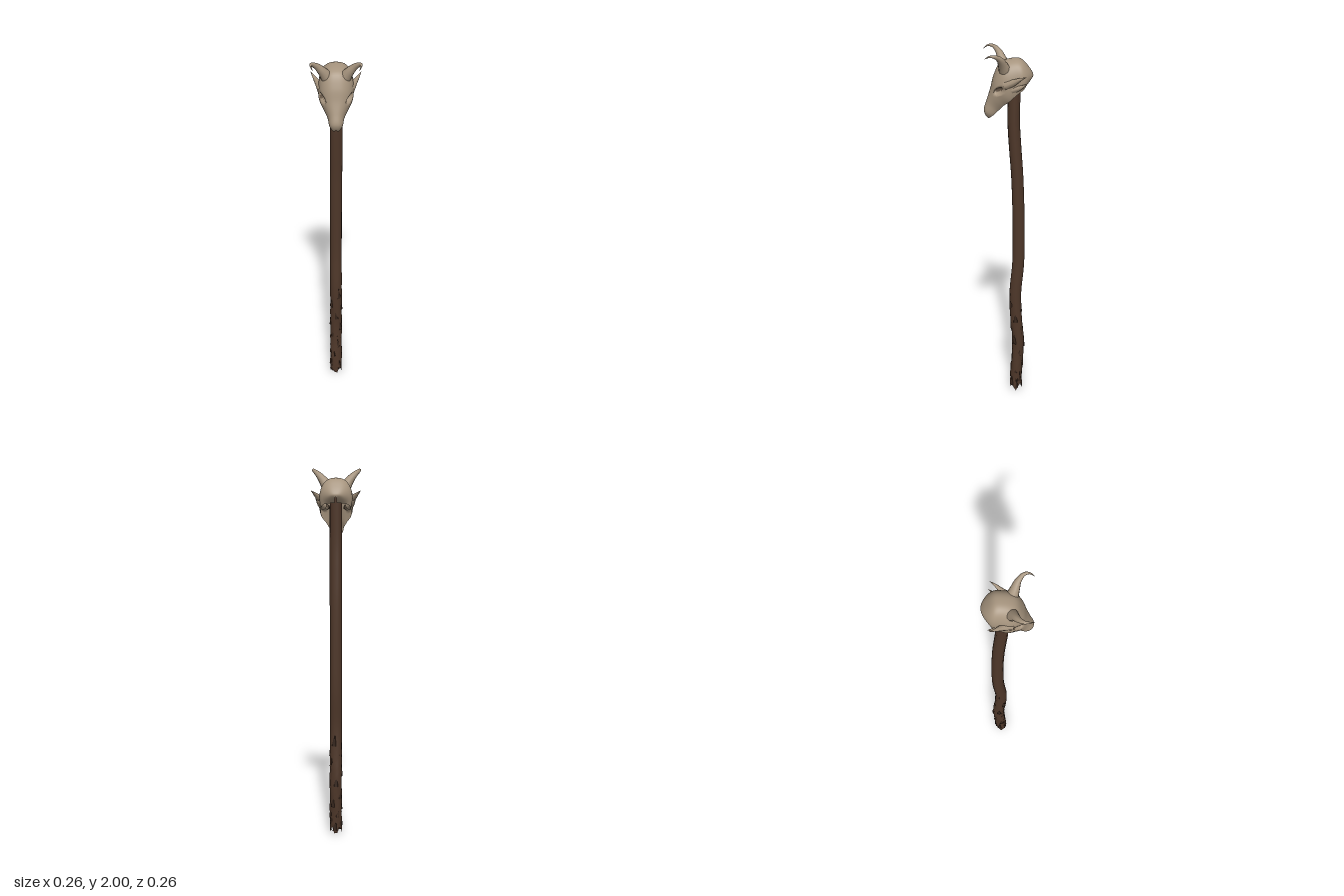
import * as THREE from 'three';
import { mergeVertices } from 'three/addons/utils/BufferGeometryUtils.js';

const V = (x, y, z) => new THREE.Vector3(x, y, z);

const material = (name, color, side = THREE.DoubleSide) => {
  const m = new THREE.MeshStandardMaterial({ color, side });
  m.name = name;
  return m;
};

// Tube whose radius follows radiusAt(t, angle)
function taperedTube(points, segments, sides, radiusAt) {
  const curve = new THREE.CatmullRomCurve3(points);
  let geo = new THREE.TubeGeometry(curve, segments, 1, sides);
  const pos = geo.attributes.position;
  const p = V(0, 0, 0);
  for (let i = 0; i <= segments; i++) {
    const t = i / segments;
    const c = curve.getPointAt(t);
    for (let j = 0; j <= sides; j++) {
      const k = i * (sides + 1) + j;
      const r = radiusAt(t, ((j % sides) / sides) * Math.PI * 2);
      p.fromBufferAttribute(pos, k).sub(c).multiplyScalar(r).add(c);
      pos.setXYZ(k, p.x, p.y, p.z);
    }
  }
  geo.deleteAttribute('uv');
  geo.deleteAttribute('normal');
  geo = mergeVertices(geo, 1e-6);
  geo.computeVertexNormals();
  return geo;
}

// Skull stations, snout to nape: top z, top y, bottom z, bottom y, half width
const STATIONS = [
  [0.115, 1.645, 0.112, 1.640, 0.002],
  [0.122, 1.656, 0.105, 1.636, 0.016],
  [0.127, 1.680, 0.085, 1.650, 0.033],
  [0.112, 1.730, 0.055, 1.680, 0.043],
  [0.093, 1.790, 0.025, 1.715, 0.066],
  [0.075, 1.860, -0.005, 1.740, 0.086],
  [0.040, 1.925, -0.030, 1.765, 0.091],
  [-0.020, 1.947, -0.055, 1.785, 0.088],
  [-0.065, 1.944, -0.075, 1.800, 0.085],
  [-0.105, 1.905, -0.085, 1.810, 0.072],
  [-0.128, 1.867, -0.092, 1.815, 0.045],
  [-0.127, 1.850, -0.100, 1.820, 0.005],
];

// Distance from the eye centre, 1 at the socket rim
function eyeDistance(y, z) {
  const dz = z - 0.05, dy = y - 1.795;
  return Math.hypot((-0.8 * dz + 0.6 * dy) / 0.03, (0.6 * dz + 0.8 * dy) / 0.018);
}

// Arched shell, open below, with the eye sockets pressed in
function skullGeometry() {
  const rows = 66, cols = 56;
  const tops = new THREE.CatmullRomCurve3(STATIONS.map(s => V(s[4], s[1], s[0])));
  const lows = new THREE.CatmullRomCurve3(STATIONS.map(s => V(0, s[3], s[2])));
  const verts = [], bone = [], dark = [];
  for (let i = 0; i <= rows; i++) {
    const T = tops.getPoint(i / rows), B = lows.getPoint(i / rows);
    for (let j = 0; j <= cols; j++) {
      const a = THREE.MathUtils.degToRad(-30 + (240 * j) / cols);
      const h = (Math.sin(a) + 0.5) / 1.5, c = Math.cos(a);
      const y = B.y + (T.y - B.y) * h, z = B.z + (T.z - B.z) * h;
      let x = T.x * Math.sign(c) * Math.pow(Math.abs(c), 0.8);
      if (Math.abs(x) > 0.03) {
        const dent = 1 - THREE.MathUtils.smoothstep(eyeDistance(y, z), 0.5, 1.1);
        x -= Math.sign(x) * 0.028 * dent;
      }
      verts.push(x, y, z);
    }
  }
  const at = (k, n) => verts[k * 3 + n];
  for (let i = 0; i < rows; i++) {
    for (let j = 0; j < cols; j++) {
      const a = i * (cols + 1) + j, b = a + cols + 1;
      const inEye = Math.abs(at(a, 0)) > 0.025 && eyeDistance(at(a, 1), at(a, 2)) < 0.75;
      (inEye ? dark : bone).push(a, b, a + 1, b, b + 1, a + 1);
    }
  }
  const geo = new THREE.BufferGeometry();
  geo.setAttribute('position', new THREE.Float32BufferAttribute(verts, 3));
  geo.setIndex([...bone, ...dark]);
  geo.addGroup(0, bone.length, 0);
  geo.addGroup(bone.length, dark.length, 1);
  geo.computeVertexNormals();
  return geo;
}

export function createModel() {
  const group = new THREE.Group();
  const bone = material('bone', 0xa6947e);
  const socket = material('socketShade', 0x6b5b4b);
  const wood = material('wood', 0x4e3729);
  const bark = material('darkBark', 0x38271d);
  const add = (name, geo, mat) => {
    const mesh = new THREE.Mesh(geo, mat);
    mesh.name = name;
    group.add(mesh);
    return mesh;
  };

  // Crooked shaft, rougher toward the foot
  const path = [
    [1.86, -0.035], [1.6, -0.030], [1.45, -0.038], [1.3, -0.048], [1.0, -0.056],
    [0.8, -0.055], [0.6, -0.040], [0.45, -0.046], [0.3, -0.056], [0.15, -0.048], [0.02, -0.042],
  ].map(([y, z]) => V(0, y, z));
  const shaft = taperedTube(path, 90, 14, (t, a) => {
    const rough = THREE.MathUtils.smoothstep(t, 0.62, 0.9);
    return 0.033 + 0.001 * Math.sin(3 * a + t * 9)
      + rough * 0.0028 * Math.sin(5 * a + t * 70) * Math.sin(t * 130 + 2 * a);
  });
  // Splintered foot
  const sp = shaft.attributes.position;
  for (let i = 0; i < sp.count; i++) {
    const y = sp.getY(i);
    if (y < 0.03) {
      const a = Math.atan2(sp.getZ(i) + 0.042, sp.getX(i));
      sp.setY(i, 0.022 - 0.022 * Math.cos(4 * a));
    } else if (y < 0.06) sp.setY(i, 0.06);
  }
  shaft.computeVertexNormals();
  add('shaft', shaft, wood);
  const core = add('footCore', new THREE.CylinderGeometry(0.03, 0.026, 0.03, 12), bark);
  core.position.set(0, 0.06, -0.043);

  // Peeling bark flakes around the lower shaft
  const centre = new THREE.CatmullRomCurve3(path);
  const flake = new THREE.ConeGeometry(0.011, 0.085, 4);
  for (let i = 0; i < 26; i++) {
    const a = i * 2.4, c = centre.getPointAt(0.985 - 0.32 * Math.pow(i / 26, 1.4));
    const mesh = add('barkFlake', flake, bark);
    mesh.position.set(Math.cos(a) * 0.031, Math.max(c.y, 0.06), c.z + Math.sin(a) * 0.031);
    mesh.rotation.set(0.07 * Math.sin(a), -a, -0.07 * Math.cos(i), 'YXZ');
    mesh.scale.set(0.45, 1, 1.1);
  }

  add('skull', skullGeometry(), [bone, socket]);

  // Paired horns and cheek spikes
  for (const s of [1, -1]) {
    const side = s > 0 ? 'left' : 'right';
    const mirror = pts => pts.map(([x, y, z]) => V(s * x, y, z));
    add(side + 'Horn', taperedTube(mirror([
      [0.040, 1.885, 0.015], [0.066, 1.928, 0.030], [0.098, 1.966, 0.048],
      [0.122, 1.986, 0.075], [0.125, 1.988, 0.100], [0.115, 1.972, 0.127],
    ]), 24, 12, t => 0.0005 + 0.034 * Math.pow(1 - t, 1.1)), bone);
    add(side + 'UpperSpike', taperedTube(mirror([
      [0.070, 1.825, 0.015], [0.092, 1.845, -0.025], [0.112, 1.865, -0.055], [0.130, 1.882, -0.088],
    ]), 10, 8, t => 0.0005 + 0.026 * (1 - t)), bone);
    add(side + 'LowerSpike', taperedTube(mirror([
      [0.070, 1.800, -0.015], [0.088, 1.815, -0.055], [0.106, 1.842, -0.096],
    ]), 10, 8, t => 0.0005 + 0.022 * (1 - t)), bone);
  }
  return group;
}
